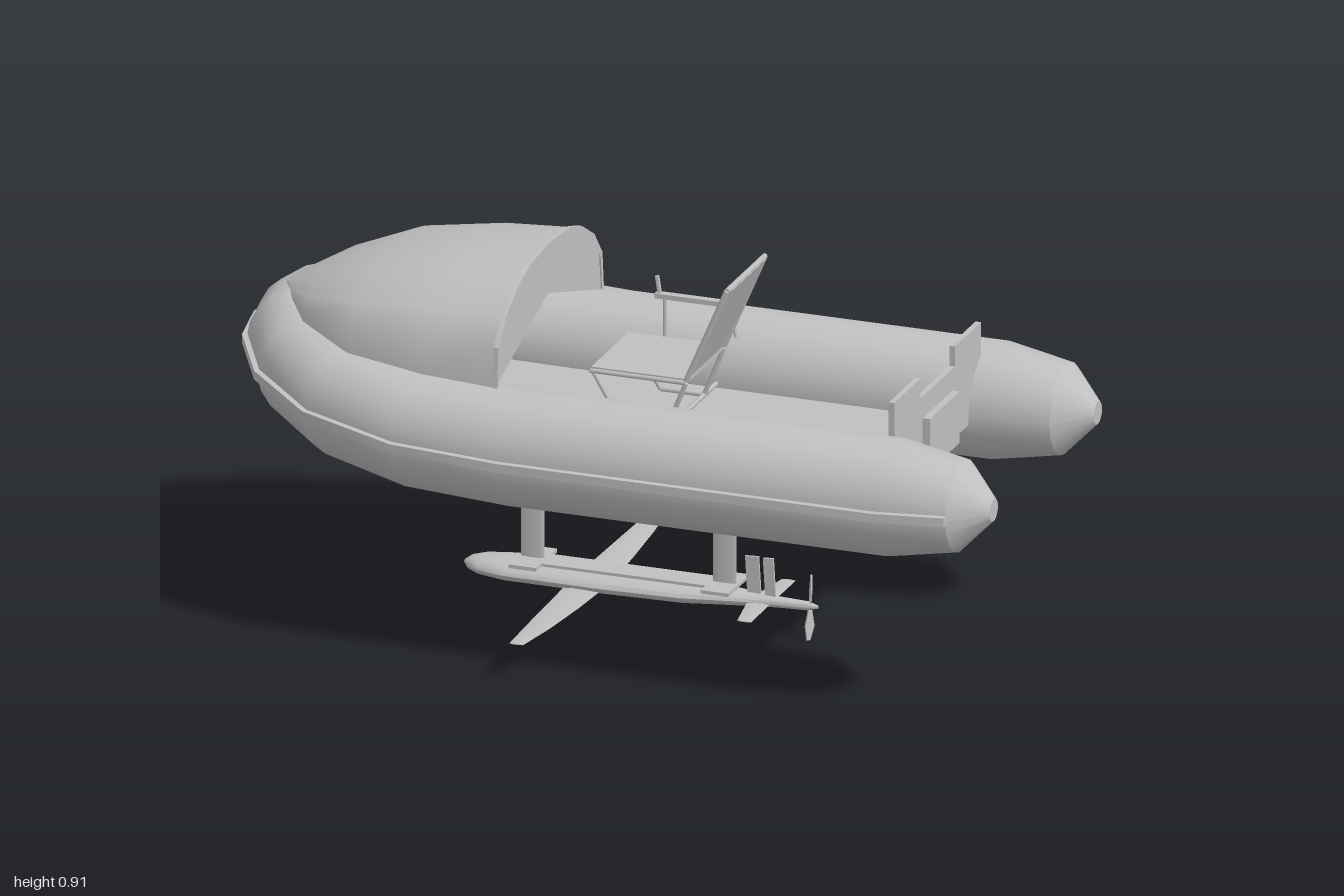
import * as THREE from 'three';
import { toCreasedNormals } from 'three/addons/utils/BufferGeometryUtils.js';

const V = (x, y, z) => new THREE.Vector3(x, y, z);

// Skin a list of equal-length rings; closed rings get end caps.
function loft(rings, closed = true, crease = 0.6) {
  const n = rings[0].length, pos = [], idx = [];
  rings.forEach(r => r.forEach(p => pos.push(p.x, p.y, p.z)));
  for (let i = 0; i < rings.length - 1; i++) {
    for (let j = 0; j < (closed ? n : n - 1); j++) {
      const k = (j + 1) % n, a = i * n + j, b = i * n + k;
      idx.push(a, b, b + n, a, b + n, a + n);
    }
  }
  if (closed) {
    const e = (rings.length - 1) * n;
    for (let j = 1; j < n - 1; j++) idx.push(0, j + 1, j, e, e + j, e + j + 1);
  }
  const g = new THREE.BufferGeometry();
  g.setAttribute('position', new THREE.Float32BufferAttribute(pos, 3));
  g.setIndex(idx);
  return toCreasedNormals(g, crease);
}

// Sweep a section (outward, up) along stations {p, r}, keeping it upright.
function sweep(stations, section) {
  return loft(stations.map((s, i) => {
    const a = stations[Math.max(0, i - 1)].p, b = stations[Math.min(stations.length - 1, i + 1)].p;
    const dirA = s.p.clone().sub(a).setY(0).normalize(), dirB = b.clone().sub(s.p).setY(0).normalize();
    const out = V(0, 1, 0).cross(dirA.add(dirB).normalize());
    return section(s.r).map(([u, v]) => s.p.clone().addScaledVector(out, u).add(V(0, v, 0)));
  }));
}

export function createModel() {
  const root = new THREE.Group();
  root.name = 'hydrofoilBoat';
  const grey = new THREE.MeshStandardMaterial({ color: 0xc0c0c0, side: THREE.DoubleSide });
  grey.name = 'light grey';

  const add = (name, geo, x = 0, y = 0, z = 0, parent = root) => {
    const m = new THREE.Mesh(geo, grey);
    m.name = name;
    m.position.set(x, y, z);
    parent.add(m);
    return m;
  };
  const box = (name, x0, x1, y0, y1, z0, z1, parent) =>
    add(name, new THREE.BoxGeometry(x1 - x0, y1 - y0, z1 - z0), (x0 + x1) / 2, (y0 + y1) / 2, (z0 + z1) / 2, parent);
  const bar = (name, a, b, r, parent) => {
    const m = add(name, new THREE.CylinderGeometry(r, r, a.distanceTo(b), 8), 0, 0, 0, parent);
    m.position.copy(a).add(b).multiplyScalar(0.5);
    m.quaternion.setFromUnitVectors(V(0, 1, 0), b.clone().sub(a).normalize());
    return m;
  };

  // Inflatable collar: x, y, z, radius from the stern to the bow, then mirrored
  const half = [
    [1, 0.527, 0.348, 0.028], [0.92, 0.527, 0.348, 0.112], [0.75, 0.527, 0.348, 0.143],
    [-0.2, 0.527, 0.348, 0.143], [-0.45, 0.54, 0.348, 0.141], [-0.655, 0.565, 0.295, 0.135],
    [-0.785, 0.6, 0.205, 0.127], [-0.855, 0.625, 0.095, 0.118], [-0.872, 0.632, 0, 0.115],
  ];
  const stations = [...half, ...half.slice(0, -1).reverse().map(([x, y, z, r]) => [x, y, -z, r])]
    .map(([x, y, z, r]) => ({ p: V(x, y, z), r }));
  add('inflatableCollar', sweep(stations, r => Array.from({ length: 18 }, (_, i) => {
    const a = i / 18 * Math.PI * 2;
    return [r * Math.cos(a), r * Math.sin(a)];
  })));
  add('rubbingStrake', sweep(stations.slice(1, -1), r =>
    [[r - 0.008, -0.013], [r + 0.011, -0.011], [r + 0.011, 0.011], [r - 0.008, 0.013]]));

  // Floor with a rounded bow
  const plan = [[0.7, 0.24], [-0.5, 0.24], [-0.65, 0.2], [-0.77, 0.11], [-0.8, 0]];
  const outline = [...plan, ...plan.slice(0, -1).reverse().map(([x, z]) => [x, -z])];
  const floor = new THREE.ExtrudeGeometry(new THREE.Shape(outline.map(p => new THREE.Vector2(...p))),
    { depth: 0.014, bevelEnabled: false });
  add('floor', floor.rotateX(Math.PI / 2), 0, 0.52);

  // Notched transom with motor pads
  const tr = [[-0.29, 0.51], [0.29, 0.51], [0.29, 0.74], [0.115, 0.74], [0.115, 0.69],
    [-0.115, 0.69], [-0.115, 0.74], [-0.29, 0.74]];
  const transom = new THREE.ExtrudeGeometry(new THREE.Shape(tr.map(p => new THREE.Vector2(...p))),
    { depth: 0.014, bevelEnabled: false });
  add('transom', transom.rotateY(Math.PI / 2), 0.713);
  box('innerMotorPad', 0.68, 0.713, 0.51, 0.635, -0.1, 0.1);
  box('outerMotorPad', 0.727, 0.745, 0.505, 0.635, -0.1, 0.1);

  // Bow canopy: one arch scaled through stations of x, half width, base, top
  const right = [[1, 0], [0.97, 0.4], [0.82, 0.66], [0.59, 0.86], [0.37, 0.96]];
  const arch = [...right, [0, 1], ...right.map(([u, v]) => [-u, v]).reverse()];
  const archAt = ([x, w, b, t]) => arch.map(([u, v]) => V(x, b + v * (t - b), u * w));
  const canopy = [[-0.91, 0.03, 0.73, 0.738], [-0.875, 0.1, 0.72, 0.757], [-0.79, 0.23, 0.705, 0.802],
    [-0.64, 0.323, 0.685, 0.862], [-0.44, 0.35, 0.675, 0.896], [-0.255, 0.355, 0.67, 0.91]];
  add('canopy', loft(canopy.map(archAt), false, 0.9));
  const lip = (x, w, t) => archAt([x, w, 0.67, t]);
  add('canopyRim', loft([lip(-0.262, 0.345, 0.897), lip(-0.262, 0.358, 0.915),
    lip(-0.25, 0.358, 0.915), lip(-0.25, 0.345, 0.897)].reverse(), false, 0.4));
  const hood = new THREE.Shape([...arch.map(([u, v]) => new THREE.Vector2(-u * 0.352, 0.67 + v * 0.236)),
    new THREE.Vector2(0, 0.785)]);
  add('canopyBulkhead', new THREE.ShapeGeometry(hood).rotateY(Math.PI / 2), -0.256);

  // Helm seat on a tube frame
  const seat = new THREE.Group();
  seat.name = 'helmSeat';
  root.add(seat);
  box('seatPan', -0.1, 0.14, 0.652, 0.664, -0.125, 0.125, seat);
  const back = box('seatBack', -0.005, 0.005, -0.125, 0.125, -0.118, 0.118, seat);
  back.position.set(0.194, 0.785, 0);
  back.rotation.z = -0.425;
  for (const s of [1, -1]) {
    const z = 0.127 * s;
    bar('seatBackFrame', V(0.14, 0.66, z), V(0.243, 0.9, z), 0.007, seat);
    bar('seatSideRail', V(-0.1, 0.655, z), V(0.14, 0.655, z), 0.006, seat);
    bar('frontLeg', V(-0.095, 0.655, z), V(-0.02, 0.53, z), 0.006, seat);
    bar('rearLeg', V(0.14, 0.655, z), V(0.09, 0.53, z), 0.006, seat);
    bar('footRail', V(-0.02, 0.53, z), V(0.09, 0.53, z), 0.006, seat);
  }
  bar('seatBackTopRail', V(0.243, 0.9, -0.127), V(0.243, 0.9, 0.127), 0.007, seat);
  bar('seatFrontRail', V(-0.1, 0.655, -0.127), V(-0.1, 0.655, 0.127), 0.006, seat);
  bar('floorCrossbar', V(0.09, 0.53, -0.22), V(0.09, 0.53, 0.22), 0.006, seat);

  // Control arm with joystick
  bar('armPost', V(-0.015, 0.655, -0.143), V(-0.015, 0.758, -0.143), 0.005, seat);
  bar('armBrace', V(0.165, 0.68, -0.143), V(0.148, 0.758, -0.143), 0.005, seat);
  box('armRest', -0.04, 0.152, 0.752, 0.764, -0.158, -0.138, seat);
  bar('joystick', V(-0.03, 0.76, -0.148), V(-0.037, 0.805, -0.148), 0.006, seat);

  // Foil struts and mounting plates
  const foil = new THREE.Group();
  foil.name = 'foilAssembly';
  root.add(foil);
  for (const x of [-0.295, 0.19]) {
    const strut = add('strut', new THREE.CylinderGeometry(0.03, 0.03, 0.4, 16), x, 0.3, 0, foil);
    strut.scale.z = 0.16;
    box('strutTopPlate', x - 0.04, x + 0.04, 0.492, 0.507, -0.07, 0.07, foil);
  }
  box('podTopPlate', -0.33, 0.22, 0.107, 0.114, -0.035, 0.035, foil);
  for (const x of [-0.295, 0.19]) box('strutFootPlate', x - 0.035, x + 0.035, 0.106, 0.115, -0.07, 0.07, foil);

  // Drive pod: x, half height, half width
  const pod = [[-0.465, 0.004, 0.008], [-0.45, 0.015, 0.03], [-0.42, 0.022, 0.05], [-0.35, 0.026, 0.067],
    [-0.1, 0.026, 0.07], [0.1, 0.025, 0.06], [0.22, 0.019, 0.035], [0.32, 0.013, 0.018], [0.4, 0.011, 0.011], [0.425, 0.004, 0.004]];
  add('drivePod', loft(pod.map(([x, h, w]) => Array.from({ length: 16 }, (_, i) => {
    const a = i / 16 * Math.PI * 2;
    return V(x, 0.083 + h * Math.cos(a), w * Math.sin(a));
  }))), 0, 0, 0, foil);

  // Wings: stations of z, centre x, chord, y
  const lens = [[-0.5, 0], [-0.2, -0.04], [0.2, -0.03], [0.5, 0], [0.2, 0.03], [-0.2, 0.04]];
  const wing = st => loft(st.map(([z, x, c, y]) => lens.map(([u, v]) => V(x + u * c, y + v * c, z))));
  const mirrored = st => [...st.map(([z, ...r]) => [-z, ...r]), ...st.slice(0, -1).reverse()];
  add('mainWing', wing(mirrored([[0.495, -0.15, 0.035, 0.087], [0.35, -0.15, 0.06, 0.079],
    [0.18, -0.15, 0.08, 0.073], [0, -0.15, 0.095, 0.07]])), 0, 0, 0, foil);
  add('rearWing', wing(mirrored([[0.15, 0.295, 0.035, 0.082], [0, 0.28, 0.06, 0.08]])), 0, 0, 0, foil);

  // Upright tail fins
  for (const [x, w] of [[0.262, 0.034], [0.303, 0.026]]) {
    const fin = box('tailFin', x - w / 2, x + w / 2, 0.085, 0.19, -0.003, 0.003, foil);
    fin.rotation.z = 0.06;
  }

  // Two-bladed propeller
  const blade = new THREE.Shape([[-0.004, 0], [-0.015, 0.045], [-0.004, 0.079], [0.006, 0.079], [0.013, 0.045], [0.004, 0]]
    .map(p => new THREE.Vector2(...p)));
  for (const s of [0, 1]) {
    const g = new THREE.ExtrudeGeometry(blade, { depth: 0.004, bevelEnabled: false });
    g.translate(0, 0, -0.002).rotateY(Math.PI / 2 + 0.5).rotateX(-0.12 + s * Math.PI);
    add('propellerBlade', g, 0.405, 0.079, 0, foil);
  }
  return root;
}
